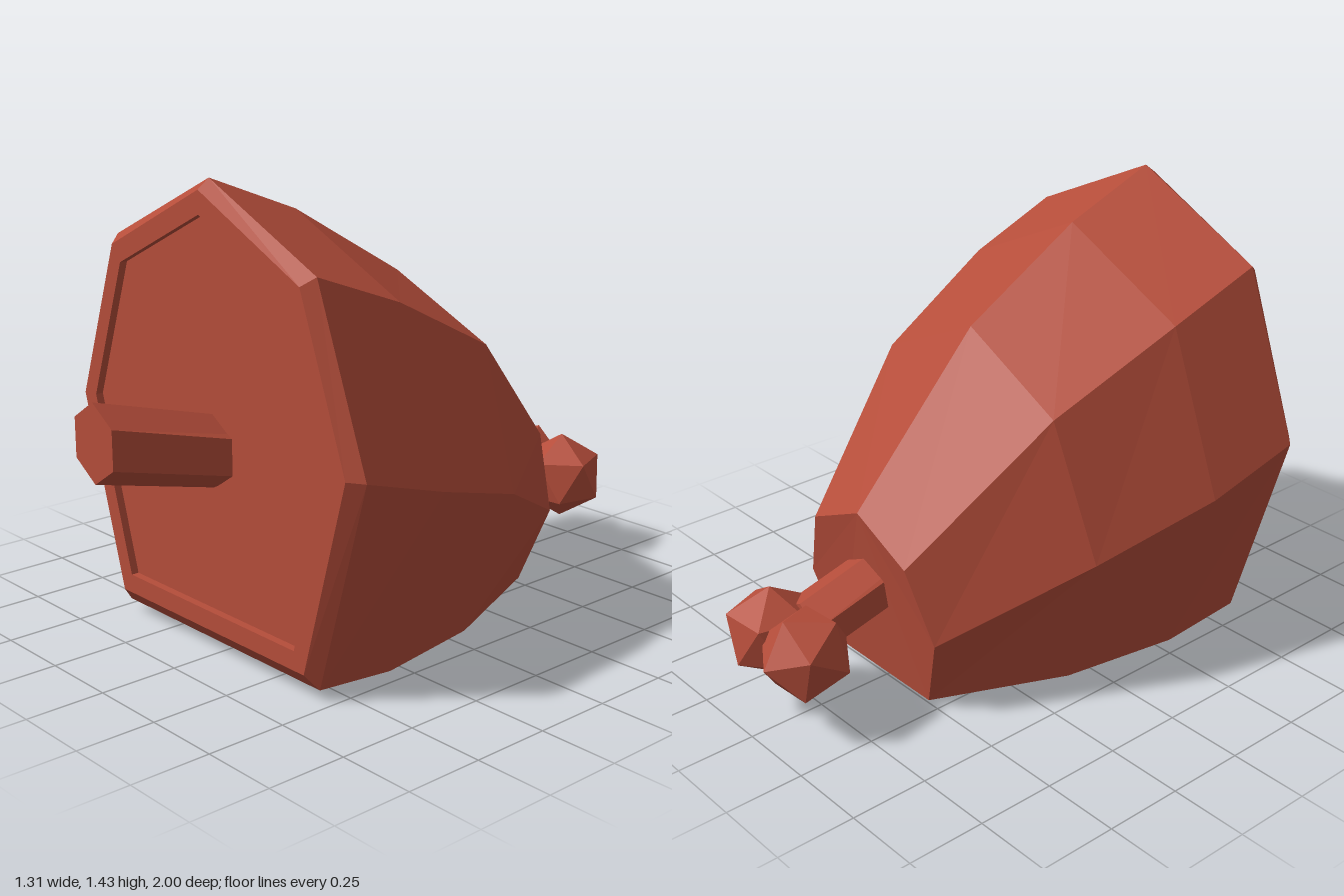
import * as THREE from 'three';
import { ConvexGeometry } from 'three/addons/geometries/ConvexGeometry.js';

const rust = new THREE.MeshStandardMaterial({ color: 0xb54d3a, flatShading: true });
rust.name = 'rust red';

// Skin a closed solid over rings ordered front to back, each counterclockwise seen from +z
function loft(rings) {
  const n = rings[0].length, index = [], last = (rings.length - 1) * n;
  for (let r = 0; r < rings.length - 1; r++) {
    for (let i = 0; i < n; i++) {
      const a = r * n + i, d = r * n + (i + 1) % n, b = a + n, c = d + n;
      index.push(a, b, c, a, c, d);
    }
  }
  for (let i = 1; i < n - 1; i++) {
    index.push(0, i, i + 1, last, last + i + 1, last + i);
  }
  const geo = new THREE.BufferGeometry();
  geo.setAttribute('position', new THREE.Float32BufferAttribute(rings.flat(2), 3));
  geo.setIndex(index);
  const flat = geo.toNonIndexed();
  flat.computeVertexNormals();
  return flat;
}

// Seven-sided ring from its right half: top, shoulder, side, bottom
function heptagon(top, shoulder, side, bottom) {
  const mirror = ([x, y, z]) => [-x, y, z];
  return [top, mirror(shoulder), mirror(side), mirror(bottom), bottom, side, shoulder];
}

// Flat seven-sided ring at one depth
function flatHeptagon(z, top, shoulder, side, bottom) {
  return heptagon([0, top, z], [...shoulder, z], [...side, z], [...bottom, z]);
}

// Six-sided ring of the sloping rod
function hexagon(z, yTop, yBottom) {
  const q = (yTop - yBottom) / 4, w = 0.09, cx = 0.01;
  return [
    [cx, yTop, z], [cx - w, yTop - q, z], [cx - w, yBottom + q, z],
    [cx, yBottom, z], [cx + w, yBottom + q, z], [cx + w, yTop - q, z],
  ];
}

// Twenty-sided knob with poles on y and the upper ring turned by phase
function knobGeometry(r, phase) {
  const pts = [new THREE.Vector3(0, r, 0), new THREE.Vector3(0, -r, 0)];
  for (let k = 0; k < 10; k++) {
    const a = phase + k * Math.PI / 5, up = k % 2 ? -1 : 1;
    pts.push(new THREE.Vector3(Math.cos(a) * 0.894 * r, up * 0.447 * r, Math.sin(a) * 0.894 * r));
  }
  return new ConvexGeometry(pts);
}

export function createModel() {
  const model = new THREE.Group();
  model.name = 'model';
  const add = (name, geo) => {
    const mesh = new THREE.Mesh(geo, rust);
    mesh.name = name;
    model.add(mesh);
    return mesh;
  };

  // Tapering body with a shallow recess in the front face
  const inner = [1.33, [0.395, 1.14], [0.555, 0.70], [0.395, 0.145]];
  add('body', loft([
    flatHeptagon(0.595, ...inner),
    flatHeptagon(0.62, ...inner),
    flatHeptagon(0.62, 1.4, [0.435, 1.19], [0.615, 0.695], [0.437, 0.085]),
    flatHeptagon(0.58, 1.43, [0.46, 1.215], [0.655, 0.69], [0.46, 0.035]),
    heptagon([0, 1.31, 0.265], [0.447, 1.1, 0.265], [0.635, 0.595, 0.27], [0.45, 0.005, 0.3]),
    heptagon([0, 1.075, -0.145], [0.378, 0.9, -0.155], [0.535, 0.475, -0.123], [0.38, 0, -0.08]),
    heptagon([0, 0.6, -0.588], [0.22, 0.5, -0.588], [0.305, 0.265, -0.55], [0.215, 0.015, -0.505]),
  ]));

  // Rod running through the body, sloping down to the back
  add('rod', loft([hexagon(1, 0.86, 0.625), hexagon(-0.8, 0.37, 0.19)]));

  // Pair of knobs at the back end of the rod
  add('leftKnob', knobGeometry(0.147, 0.24)).position.set(0.085, 0.27, -0.853);
  const right = add('rightKnob', knobGeometry(0.145, 1.5));
  right.position.set(-0.09, 0.27, -0.855);
  right.rotation.x = -Math.PI / 2;

  return model;
}
